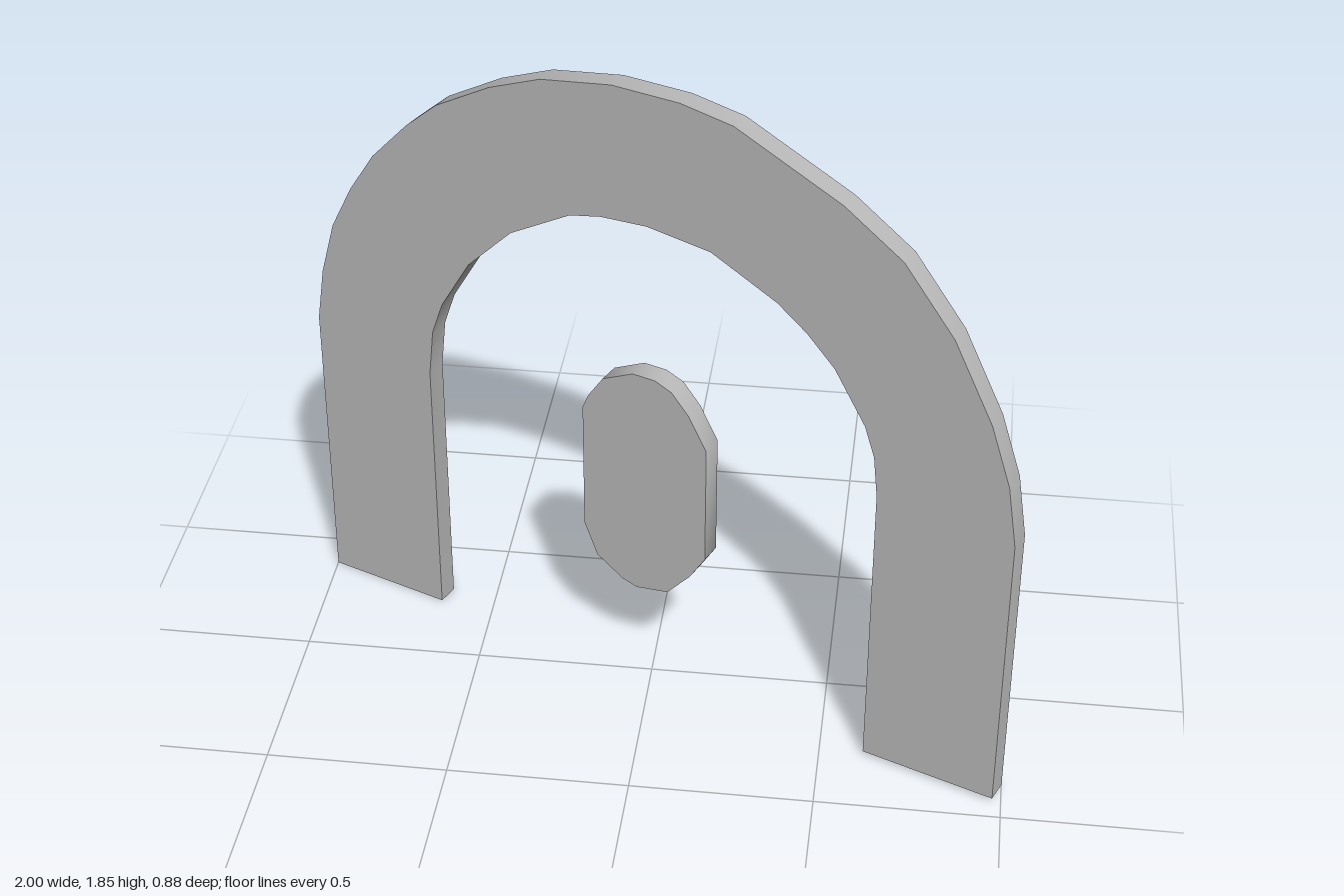
import * as THREE from 'three';
import { toCreasedNormals } from 'three/addons/utils/BufferGeometryUtils.js';

const THICKNESS = 0.063;
const YAW = THREE.MathUtils.degToRad(22.65);

// Outlines as [x, y] seen on the front face; undo the yaw to get plate coordinates
const toPlate = ([x, y]) =>
  new THREE.Vector2((x + (THICKNESS / 2) * Math.sin(YAW)) / Math.cos(YAW), y);

const ARCH = [
  // left-hand leg and outer curve, going over the top
  [-1, 0], [-1, 0.87], [-0.976, 1.03], [-0.933, 1.19], [-0.869, 1.324], [-0.794, 1.447],
  [-0.687, 1.57], [-0.596, 1.655], [-0.441, 1.75], [-0.297, 1.813], [-0.104, 1.85],
  [0.078, 1.85], [0.217, 1.826], [0.5, 1.69], [0.655, 1.58], [0.79, 1.404],
  [0.896, 1.19], [0.95, 1.024], [0.976, 0.85], [0.976, 0.012],
  // inner curve, coming back
  [0.62, 0.012], [0.619, 0.87], [0.607, 0.987], [0.58, 1.072], [0.495, 1.217], [0.42, 1.297],
  [0.34, 1.361], [0.163, 1.452], [-0.01, 1.473], [-0.136, 1.463], [-0.222, 1.441],
  [-0.393, 1.334], [-0.521, 1.195], [-0.607, 1.04], [-0.64, 0.94], [-0.655, 0.8], [-0.655, 0],
];

const OVAL = [
  [-0.195, 0.468], [-0.195, 0.853], [-0.179, 0.896], [-0.136, 0.965], [-0.05, 1.011],
  [0.013, 1.011], [0.06, 0.99], [0.108, 0.932], [0.158, 0.837], [0.158, 0.48],
  [0.115, 0.404], [0.05, 0.324], [-0.04, 0.305], [-0.083, 0.318], [-0.158, 0.372],
];

function plate(name, outline, material) {
  const shape = new THREE.Shape(outline.map(toPlate));
  const extruded = new THREE.ExtrudeGeometry(shape, { depth: THICKNESS, bevelEnabled: false });
  extruded.translate(0, 0, -THICKNESS / 2);
  const mesh = new THREE.Mesh(toCreasedNormals(extruded, Math.PI / 5), material);
  mesh.name = name;
  return mesh;
}

export function createModel() {
  const grey = new THREE.MeshStandardMaterial({ color: 0xb8b8b8 });
  grey.name = 'plain grey';

  const group = new THREE.Group();
  group.name = 'archWithOval';
  group.add(plate('arch', ARCH, grey), plate('centreOval', OVAL, grey));
  // the whole plate stands turned about the vertical
  group.rotation.y = -YAW;

  const model = new THREE.Group();
  model.add(group);
  return model;
}
